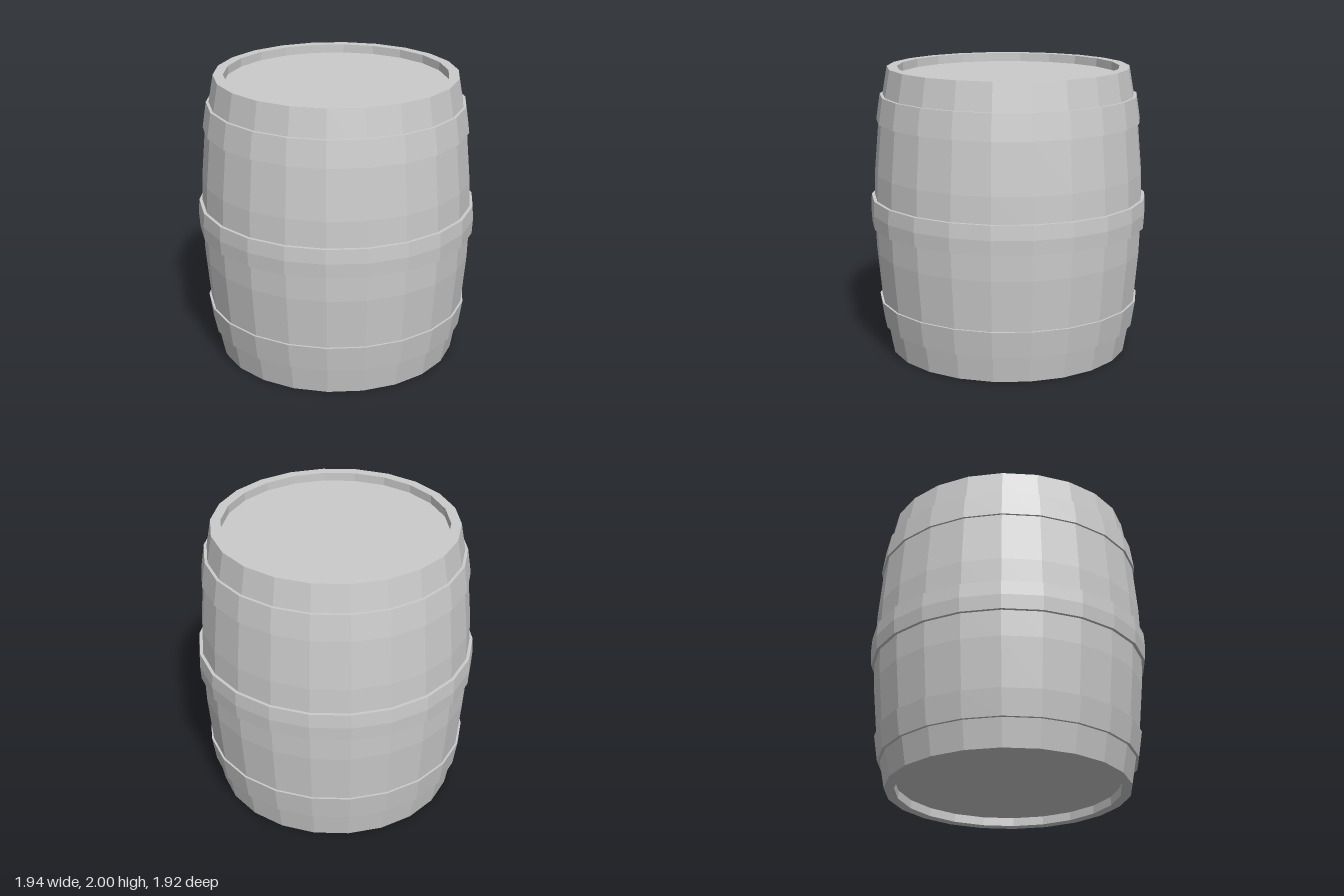
import * as THREE from 'three';

const SIDES = 22;
const material = new THREE.MeshStandardMaterial({ color: 0xcccccc, flatShading: true });

// Faceted solid of revolution from [radius, height] pairs listed bottom to top
function turned(name, profile) {
  const points = profile.map(([r, y]) => new THREE.Vector2(r, y));
  const mesh = new THREE.Mesh(new THREE.LatheGeometry(points, SIDES, Math.PI / 2), material);
  mesh.name = name;
  return mesh;
}

// Band around the barrel: outer profile, closed off by ledges sunk into the staves
function hoop(name, outer) {
  const inner = 0.84;
  return turned(name, [[inner, outer[0][1]], ...outer, [inner, outer[outer.length - 1][1]]]);
}

// Reflects a profile in the barrel's middle plane, y = 1
const mirrored = (profile) => profile.map(([r, y]) => [r, 2 - y]).reverse();

export function createModel() {
  const barrel = new THREE.Group();
  barrel.name = 'barrel';

  // Bulging staves with a rim around the recessed head at each end
  const lowerHalf = [
    [0, 0.06], [0.77, 0.06], [0.77, 0], [0.84, 0],
    [0.905, 0.37], [0.936, 0.72], [0.945, 1],
  ];
  barrel.add(turned('stavesAndHeads', [...lowerHalf, ...mirrored(lowerHalf).slice(1)]));

  // Three hoops following the bulge
  const lowerHoop = [[0.893, 0.19], [0.92, 0.37]];
  barrel.add(hoop('lowerHoop', lowerHoop));
  barrel.add(hoop('middleHoop', [[0.964, 0.9], [0.97, 1], [0.964, 1.1]]));
  barrel.add(hoop('upperHoop', mirrored(lowerHoop)));

  return barrel;
}
